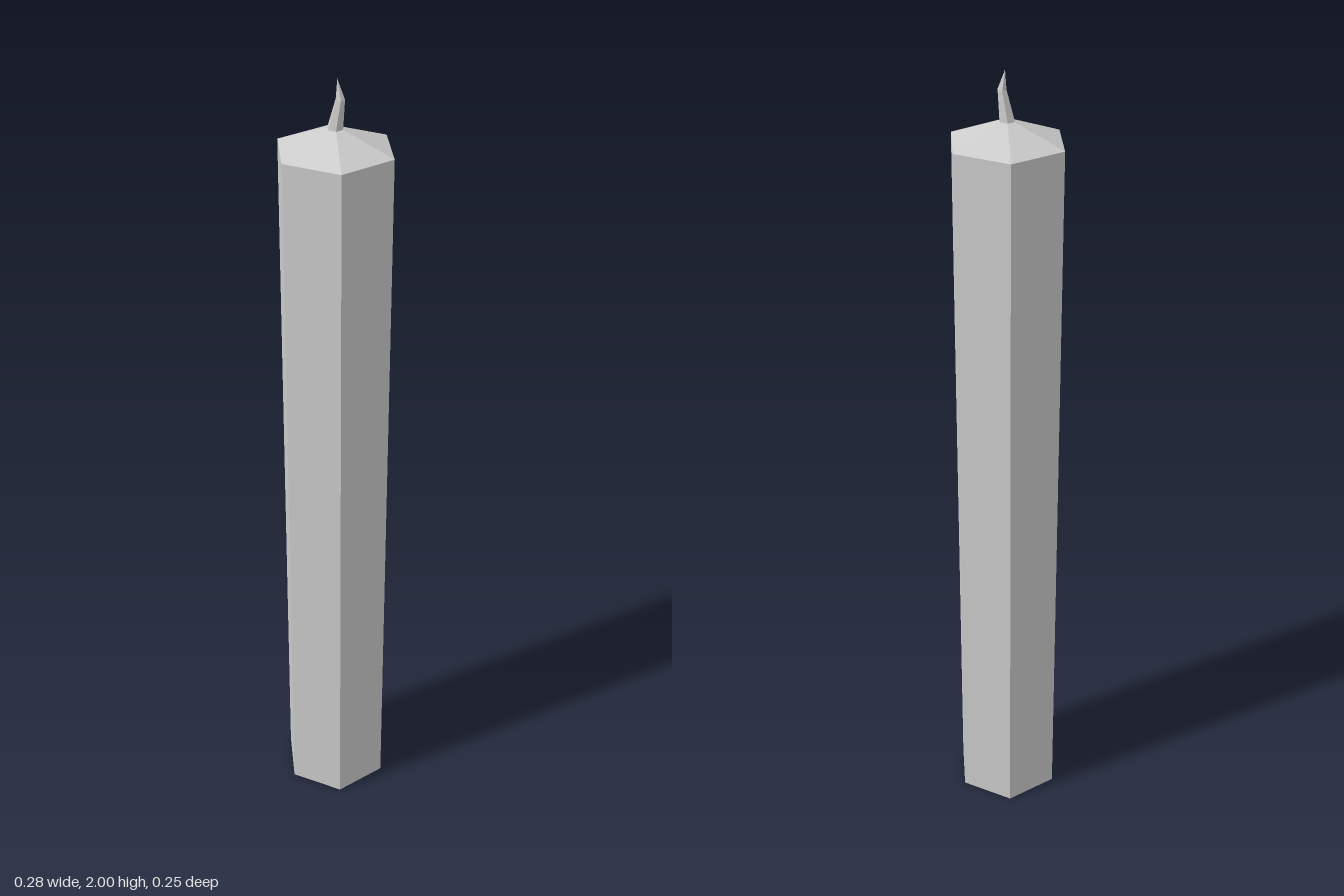
import * as THREE from 'three';

const SIDES = 6;
const TURN = THREE.MathUtils.degToRad(1);

// Skins a stack of hexagonal rings given as [x, y, z, radius]
function loft(name, rings, material) {
  const points = rings.map(([x, y, z, r]) =>
    Array.from({ length: SIDES }, (_, i) => {
      const a = (i / SIDES) * Math.PI * 2 - TURN;
      return [x + r * Math.cos(a), y, z + r * Math.sin(a)];
    }));
  const positions = [];
  for (let k = 0; k < rings.length - 1; k++) {
    for (let i = 0; i < SIDES; i++) {
      const j = (i + 1) % SIDES;
      const a = points[k][i], b = points[k][j];
      const c = points[k + 1][j], d = points[k + 1][i];
      positions.push(...a, ...d, ...b);
      if (rings[k + 1][3] > 0) positions.push(...b, ...d, ...c);
    }
  }
  const geometry = new THREE.BufferGeometry();
  geometry.setAttribute('position', new THREE.Float32BufferAttribute(positions, 3));
  geometry.computeVertexNormals();
  const mesh = new THREE.Mesh(geometry, material);
  mesh.name = name;
  return mesh;
}

export function createModel() {
  const group = new THREE.Group();
  group.name = 'candle';
  const material = new THREE.MeshStandardMaterial({
    color: 0xcccccc, flatShading: true, side: THREE.DoubleSide,
  });

  // Hollow hexagonal shaft, open underneath
  group.add(loft('candleBody', [[0, 0, 0, 0.141], [0, 1.84, 0, 0.141]], material));

  // Shallow sloping shoulder up to the wick
  group.add(loft('candleTop', [[0, 1.84, 0, 0.141], [0, 1.887, 0, 0.019]], material));

  // Bent wick tapering to a point
  group.add(loft('wick', [
    [0, 1.887, 0, 0.019],
    [0.006, 1.955, 0.011, 0.011],
    [0.002, 2, 0.005, 0],
  ], material));

  return group;
}
